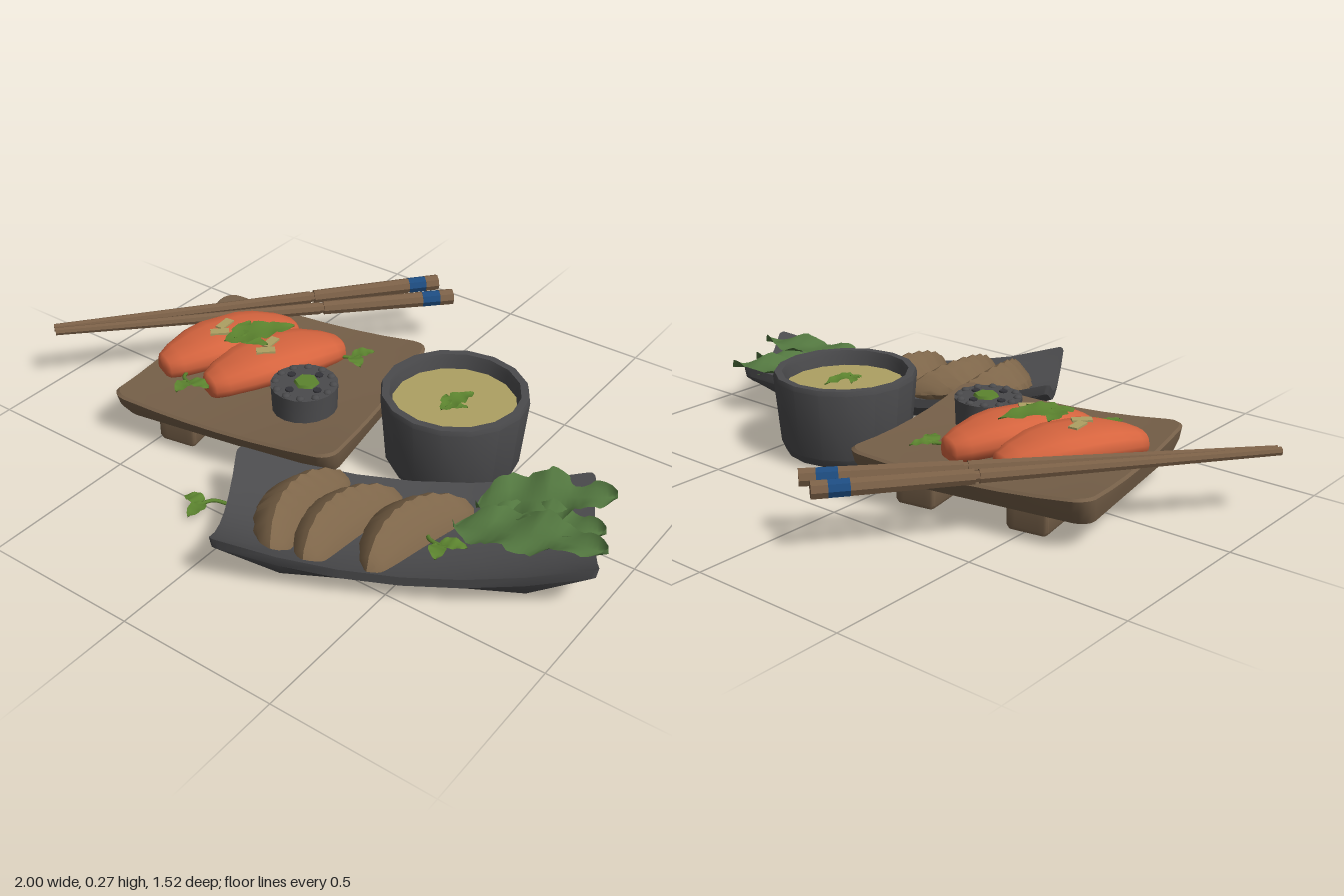
import * as THREE from 'three';
import { toCreasedNormals } from 'three/addons/utils/BufferGeometryUtils.js';

const paint = (name, color, side = THREE.FrontSide) => {
  const m = new THREE.MeshStandardMaterial({ color, side });
  m.name = name;
  return m;
};

// Skin a list of closed rings of [x, y, z] points
function loft(rings, crease = 0.6) {
  const n = rings[0].length, index = [];
  for (let i = 0; i < rings.length - 1; i++) {
    for (let j = 0; j < n; j++) {
      const k = (j + 1) % n, a = i * n, b = a + n;
      index.push(a + j, b + j, a + k, b + j, b + k, a + k);
    }
  }
  const g = new THREE.BufferGeometry();
  g.setAttribute('position', new THREE.Float32BufferAttribute(rings.flat(2), 3));
  g.setIndex(index);
  return toCreasedNormals(g, crease);
}

// Rounded rectangle ring, height given by a rule of (u, v) in -1..1
function rectRing(hx, hz, r, sx, sz, height) {
  const pts = [];
  const add = (x, z) => pts.push([x * sx, height(x * sx / hx, z * sz / hz), z * sz]);
  [[1, 1], [-1, 1], [-1, -1], [1, -1]].forEach(([cx, cz], q) => {
    for (let i = 0; i <= 4; i++) {
      const a = (q + i / 4) * Math.PI / 2;
      add(cx * (hx - r) + r * Math.cos(a), cz * (hz - r) + r * Math.sin(a));
    }
    // points along the straight side that follows
    const [nx, nz] = [[-1, 1], [-1, -1], [1, -1], [1, 1]][q];
    const a = (q + 1) * Math.PI / 2;
    for (let i = 1; i < 6; i++) {
      const t = i / 6;
      add((cx + (nx - cx) * t) * (hx - r) + r * Math.cos(a), (cz + (nz - cz) * t) * (hz - r) + r * Math.sin(a));
    }
  });
  return pts;
}

// Toothed leaf pointing along +x, folded along its midrib
function leafGeometry(length, width, teeth, depth, wave, bend = 0) {
  const n = teeth * 4, pos = [], index = [];
  for (let i = 0; i <= n; i++) {
    const s = i / n;
    const saw = 1 - depth * ((i % 4) / 4);
    const w = width * Math.pow(Math.max(0, Math.sin(Math.PI * Math.pow(s, 0.8))), 0.7) * saw;
    const y = bend * Math.sin(Math.PI * s);
    for (const c of [-1, -0.5, 0, 0.5, 1]) {
      pos.push(s * length, y + wave * (c * c * 0.8 + Math.abs(c) * Math.sin(s * 17 + c * 2) * 0.7), c * w);
    }
    if (i) for (let k = 0; k < 4; k++) {
      const a = (i - 1) * 5 + k, b = a + 5;
      index.push(a, a + 1, b, b, a + 1, b + 1);
    }
  }
  const g = new THREE.BufferGeometry();
  g.setAttribute('position', new THREE.Float32BufferAttribute(pos, 3));
  g.setIndex(index);
  g.computeVertexNormals();
  return g;
}

export function createModel() {
  const root = new THREE.Group();
  const wood = paint('board wood', 0x755f48);
  const stickWood = paint('chopstick wood', 0x7b6047);
  const dark = paint('dark ceramic', 0x4b4b4d);
  const black = paint('dark seed', 0x333338);
  const salmon = paint('salmon', 0xd7653f);
  const dough = paint('fried dough', 0x7d6549);
  const broth = paint('broth', 0xada063);
  const lettuce = paint('lettuce green', 0x52763f, THREE.DoubleSide);
  const herb = paint('herb green', 0x5c842f, THREE.DoubleSide);
  const blue = paint('blue band', 0x1d4c80);

  const add = (name, geo, mat, x = 0, y = 0, z = 0, ry = 0, parent = root) => {
    const m = new THREE.Mesh(geo, mat);
    m.name = name;
    m.position.set(x, y, z);
    m.rotation.y = ry;
    parent.add(m);
    return m;
  };
  const group = (name, x, y, z, ry) => {
    const g = new THREE.Group();
    g.name = name;
    g.position.set(x, y, z);
    g.rotation.y = ry;
    root.add(g);
    return g;
  };

  // Serving board with dished top and two rails
  const board = group('servingBoard', -0.295, 0, -0.01, 0.172);
  const boardTop = (u, v) => 0.135 + 0.014 * u * u + 0.014 * v * v + 0.012 * u * u * v * v;
  const bRing = (sx, sz, f) => rectRing(0.385, 0.357, 0.05, sx, sz, f);
  add('boardTop', loft([
    bRing(0, 0, () => 0.08), bRing(0.96, 0.88, () => 0.08), bRing(0.99, 0.97, () => 0.125),
    ...[1, 0.98, 0.8, 0.6, 0.4, 0.2, 0].map((s, i) => bRing(s, s, (u, v) => boardTop(u, v) - (i ? 0 : 0.008))),
  ]), wood, 0, 0, 0, 0, board);
  const rail = loft([[0, 0.016], [0.9, 0.016], [1, 0.028], [1, 0.085]]
    .map(([s, y]) => rectRing(0.065, 0.31, 0.012, s, s && 0.9 + s * 0.1, () => y)));
  for (const s of [-1, 1]) add('boardRail', rail, wood, s * 0.18, 0, 0, 0, board);

  // Long plate with raised corners
  const plateTop = (u, v) => 0.05 + 0.05 * u * u + 0.045 * v * v + 0.035 * u * u * v * v;
  const pRing = (sx, sz, f) => rectRing(0.52, 0.213, 0.02, sx, sz, f);
  add('longPlate', loft([
    pRing(0, 0, () => 0.008), pRing(0.6, 0.58, () => 0.008), pRing(0.67, 0.72, () => 0.022),
    pRing(0.99, 0.99, (u, v) => plateTop(u, v) - 0.03),
    ...[1, 0.97, 0.8, 0.6, 0.4, 0.2, 0].map(s => pRing(s, s, plateTop)),
  ]), dark, 0.448, 0, 0.322, 0.512);

  // Soup bowl
  const bowl = group('soupBowl', 0.315, 0, -0.118, 0);
  const profile = [[0, 0.004], [0.17, 0.004], [0.192, 0.012], [0.207, 0.04], [0.226, 0.255], [0.222, 0.27],
    [0.199, 0.27], [0.194, 0.255], [0.187, 0.19]].map(p => new THREE.Vector2(...p));
  add('bowlShell', toCreasedNormals(new THREE.LatheGeometry(profile, 16), 0.5), dark, 0, 0, 0, 0, bowl);
  add('broth', new THREE.CylinderGeometry(0.192, 0.187, 0.02, 16), broth, 0, 0.212, 0, 0, bowl);

  // Lobed herb leaves: soup garnish and salmon garnish
  const herbLeaf = (x, y, z, ry, len) => {
    const g = group('herbLeaf', x, y, z, ry);
    add('leafCentre', leafGeometry(len, len * 0.24, 4, 0.35, 0.004, 0.012), herb, 0, 0, 0, 0, g);
    for (const s of [-1, 1]) add('leafLobe', leafGeometry(len * 0.48, len * 0.13, 3, 0.3, 0.003, 0.006), herb, len * 0.14, 0.003, 0, s * 0.75, g);
  };
  herbLeaf(0.31, 0.228, -0.05, 1.35, 0.14);
  herbLeaf(-0.43, 0.256, 0.07, 1.05, 0.24);

  // Two salmon slices, wide in the middle with blunt ends, draped on rice
  const slab = (hw, hh, len, y, drop) => loft(
    [[-1, 0], [-1, 0.3], [-0.96, 0.46], [-0.8, 0.66], [-0.5, 0.9], [-0.25, 1], [0.25, 1], [0.5, 0.9], [0.8, 0.66], [0.96, 0.46], [1, 0.3], [1, 0]].map(([t, w]) => {
      const h = w && Math.sqrt(w);
      return Array.from({ length: 14 }, (_, j) => {
        const a = j / 14 * Math.PI * 2, c = Math.cos(a), s = Math.sin(a);
        return [Math.sign(c) * Math.pow(Math.abs(c), 0.75) * hw * w,
          y - drop * t * t - Math.sign(s) * Math.pow(Math.abs(s), 0.8) * hh * h, t * len];
      });
    }), 1);
  for (const x of [-0.492, -0.302]) {
    const n = group('salmonBite', x, 0, -0.025, -0.41);
    add('rice', slab(0.075, 0.03, 0.19, 0.16, 0), dark, 0, 0, 0, 0, n);
    add('salmonSlice', slab(0.112, 0.052, 0.24, 0.2, 0.036), salmon, 0, 0, 0, 0, n);
    for (const [dx, dz, r] of [[-0.01, 0.01, 0.5], [0.025, 0.045, -0.4]]) {
      add('saucePatch', new THREE.BoxGeometry(0.03, 0.009, 0.06), broth, dx, 0.25, dz, r, n);
    }
  }

  // Round roll with a bumpy rim, green core and seeds
  const roll = group('roundRoll', -0.11, 0, 0.07, 0);
  add('rollSide', toCreasedNormals(new THREE.CylinderGeometry(0.105, 0.101, 0.1, 18), 0.6), dark, 0, 0.176, 0, 0, roll);
  for (let i = 0; i < 12; i++) {
    const a = i / 12 * Math.PI * 2;
    add('rimBump', new THREE.SphereGeometry(0.014, 8, 6).scale(1, 0.7, 1), dark, 0.09 * Math.cos(a), 0.225, 0.09 * Math.sin(a), 0, roll);
  }
  for (let i = 0; i < 4; i++) {
    const a = i / 4 * Math.PI * 2 + 0.2;
    add('seed', new THREE.CylinderGeometry(0.013, 0.013, 0.008, 8), black, 0.06 * Math.cos(a), 0.227, 0.06 * Math.sin(a), 0, roll);
  }
  add('greenCore', new THREE.CylinderGeometry(0.036, 0.042, 0.012, 6), herb, 0.005, 0.229, -0.005, 0, roll);

  // Chopsticks made of tapering segments with a groove and a blue band
  const stick = (tip, end) => {
    const g = group('chopstick', 0, 0, 0, 0);
    const a = new THREE.Vector3(...tip), b = new THREE.Vector3(...end), L = a.distanceTo(b);
    [[0, 0.655, 0.013, 0.021, stickWood], [0.655, 0.665, 0.017, 0.017, stickWood], [0.665, 0.92, 0.023, 0.026, stickWood],
      [0.92, 0.965, 0.0265, 0.0265, blue], [0.965, 1, 0.027, 0.027, stickWood]].forEach(([s, e, r0, r1, mat]) => {
      const geo = toCreasedNormals(new THREE.CylinderGeometry(r1, r0, L * (e - s), 8), 0.5).rotateX(Math.PI / 2);
      const m = add(mat === blue ? 'blueBand' : 'stickPart', geo, mat, ...a.clone().lerp(b, (s + e) / 2).toArray(), 0, g);
      m.lookAt(b);
    });
  };
  stick([-0.989, 0.207, 0.277], [-0.16, 0.194, -0.745]);
  stick([-0.972, 0.204, 0.287], [-0.067, 0.19, -0.698]);

  // Three folded dumplings: bowed crescents with a pleated crest
  const dumpling = loft(Array.from({ length: 19 }, (_, i) => {
    const t = i / 9 - 1, e = Math.pow(Math.max(0, 1 - t * t), 0.6);
    const frill = i % 2 ? 1 : 0.9, bow = 0.06 * t * t - 0.01;
    return [[0.085, 0], [0.06, -0.03], [-0.06, -0.03], [-0.1 * frill, 0.005], [-0.085, 0.035], [-0.03, 0.085 * frill],
      [-0.005, 0.1 * frill], [0.02, 0.08], [0.065, 0.045]].map(([x, y]) => [x * e + bow, y * e, t * 0.21]);
  }), 0.7);
  [[0.15, 0.445, 0.1], [0.285, 0.415, -0.1], [0.46, 0.33, -0.2]].forEach(([x, z, r]) => add('dumpling', dumpling, dough, x, 0.09, z, r));

  // Ruffled lettuce at the far end of the plate
  [[0.56, 0.1, 0.14, 0.6, 0.4, 0.12], [0.56, 0.11, 0.26, 0.22, 0.44, 0.1], [0.6, 0.09, 0.2, 0.4, 0.36, 0.1]].forEach(([x, y, z, ry, len, w]) => {
    const m = add('lettuceLeaf', leafGeometry(len, w, 7, 0.18, 0.02, 0.015), lettuce, x, y, z, ry);
    m.rotation.order = 'YXZ';
    m.rotation.z = 0.12;
  });

  // Small sprouts scattered around
  const sprout = (x, y, z, ry) => {
    const g = group('sprout', x, y, z, ry);
    const path = new THREE.CatmullRomCurve3([[-0.07, 0.004, -0.015], [-0.03, 0.012, 0.006], [0.01, 0.014, 0]].map(p => new THREE.Vector3(...p)));
    add('stem', new THREE.TubeGeometry(path, 8, 0.006, 6), herb, 0, 0, 0, 0, g);
    [[0.7, 0.08], [-0.8, 0.07]].forEach(([r, len]) => add('sproutLeaf', leafGeometry(len, 0.025, 3, 0, 0.003, 0.008), herb, 0, 0.014, 0, r, g));
  };
  sprout(-0.14, 0.15, -0.215, 0.3);
  sprout(-0.46, 0.157, 0.215, -0.6);
  sprout(0.57, 0.1, 0.35, -0.3);
  sprout(-0.15, 0.002, 0.505, -2.2);
  return root;
}
